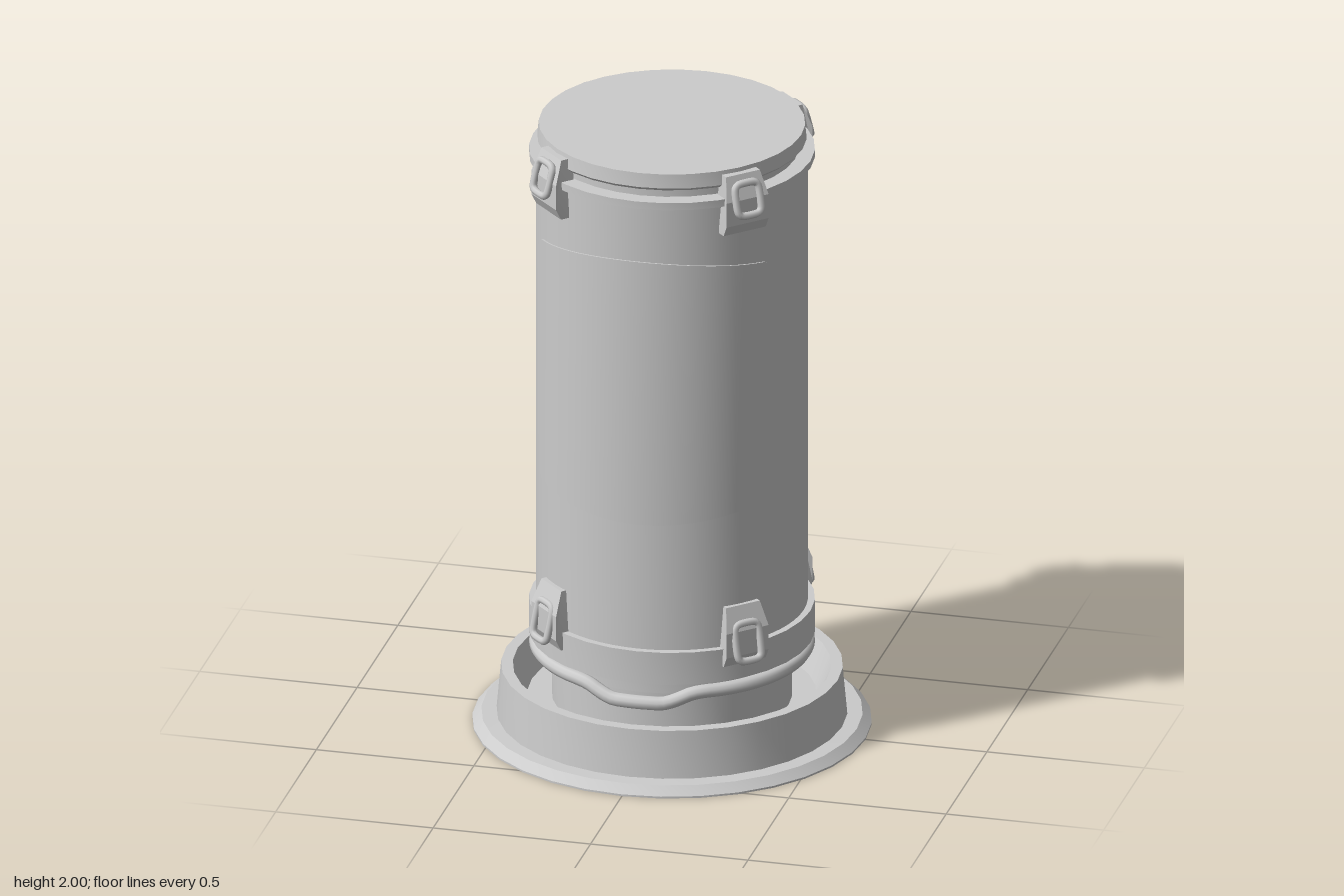
import * as THREE from 'three';
import { toCreasedNormals } from 'three/addons/utils/BufferGeometryUtils.js';

const material = new THREE.MeshStandardMaterial({ color: 0xcccccc });
const BODY_R = 0.418;

function addMesh(parent, name, geometry, crease = 0.5) {
  const mesh = new THREE.Mesh(crease ? toCreasedNormals(geometry, crease) : geometry, material);
  mesh.name = name;
  parent.add(mesh);
  return mesh;
}

// Turned part from [radius, height] pairs, listed from the bottom up the outside
function turned(parent, name, profile, sides) {
  const points = profile.map(([r, y]) => new THREE.Vector2(r, y));
  return addMesh(parent, name, new THREE.LatheGeometry(points, sides));
}

// Thin curved door panel: one cross-section per angle, with arched ends and rounded corners
function panelGeometry() {
  const half = 1.075, corner = 0.04, cornerAngle = corner / BODY_R;
  const angles = [];
  for (let i = 0; i <= 6; i++) angles.push(-half + cornerAngle * (1 - Math.cos((i / 6) * Math.PI / 2)));
  const inner = half - cornerAngle;
  for (let i = 1; i < 24; i++) angles.push(-inner + (2 * inner * i) / 24);
  for (let i = 6; i >= 0; i--) angles.push(half - cornerAngle * (1 - Math.cos((i / 6) * Math.PI / 2)));

  const positions = [], index = [];
  angles.forEach((a, i) => {
    const s = Math.sin(a) / Math.sin(half);
    const into = Math.max(0, (Math.abs(a) - inner) / cornerAngle);
    const cut = corner * (1 - Math.sqrt(Math.max(0, 1 - into * into)));
    const drop = 0.045 * s * s + cut;
    const low = 0.828 + drop, high = 1.707 - drop;
    for (const [r, y] of [[BODY_R - 0.01, low], [BODY_R + 0.005, low], [BODY_R + 0.005, high], [BODY_R - 0.01, high]]) {
      positions.push(Math.sin(a) * r, y, Math.cos(a) * r);
    }
    if (i === 0) return;
    for (let k = 0; k < 3; k++) {
      const p = (i - 1) * 4 + k, q = i * 4 + k;
      index.push(p, q, q + 1, p, q + 1, p + 1);
    }
  });
  const e = (angles.length - 1) * 4;
  index.push(0, 1, 2, 0, 2, 3, e, e + 2, e + 1, e, e + 3, e + 2);
  const geometry = new THREE.BufferGeometry();
  geometry.setAttribute('position', new THREE.Float32BufferAttribute(positions, 3));
  geometry.setIndex(index);
  return geometry;
}

// Clamp block with a wire loop, built facing +z
function createLatch(name, baseY, loopLow, loopHigh) {
  const latch = new THREE.Group();
  latch.name = name;

  // Block: side profile as (outward, up), extruded across its width
  const side = new THREE.Shape([
    [0.39, 0], [0.44, 0], [0.458, 0.035], [0.458, 0.115], [0.43, 0.19], [0.39, 0.19],
  ].map(([r, y]) => new THREE.Vector2(r, y)));
  const width = 0.15;
  const block = new THREE.ExtrudeGeometry(side, { depth: width, bevelEnabled: false });
  block.translate(0, 0, -width / 2).rotateY(-Math.PI / 2);
  // Narrow the top end of the block
  const p = block.attributes.position;
  for (let i = 0; i < p.count; i++) if (p.getY(i) > 0.15) p.setX(i, p.getX(i) * 0.8);
  block.translate(0, baseY, 0);
  addMesh(latch, 'latchBlock', block, 0.3);

  // Loop: rounded rectangle of wire leaning outward at the bottom
  const w = 0.042, h = (loopHigh - loopLow) / 2, r = 0.02;
  const points = [];
  for (let c = 0; c < 4; c++) {
    const sx = c === 0 || c === 3 ? 1 : -1, sy = c < 2 ? 1 : -1;
    for (let i = 0; i <= 3; i++) {
      const a = (c + i / 3) * Math.PI / 2;
      const x = sx * (w - r) + Math.cos(a) * r, y = sy * (h - r) + Math.sin(a) * r;
      points.push(new THREE.Vector3(x, baseY + (loopLow + loopHigh) / 2 + y, 0.461 - (y / h) * 0.013));
    }
  }
  const path = new THREE.CatmullRomCurve3(points, true, 'centripetal');
  addMesh(latch, 'latchLoop', new THREE.TubeGeometry(path, 48, 0.012, 8, true), 0);
  return latch;
}

export function createModel() {
  const model = new THREE.Group();
  model.name = 'canister';

  // Dished foot with flange and raised rim, plus the neck standing in it
  turned(model, 'base', [
    [0, 0], [0.615, 0], [0.615, 0.006], [0.587, 0.032], [0.54, 0.034], [0.526, 0.188],
    [0.49, 0.188], [0.445, 0.09], [0, 0.09],
  ], 32);
  turned(model, 'neck', [[0.37, 0.08], [0.37, 0.25], [0.39, 0.255], [0.39, 0.32]], 32);

  // Main drum with bottom collar and top ring
  turned(model, 'body', [[0, 0.32], [BODY_R, 0.32], [BODY_R, 1.91], [0, 1.91]], 64);
  turned(model, 'bottomCollar', [[0.38, 0.305], [0.44, 0.305], [0.44, 0.412], [0.41, 0.412]], 32);
  turned(model, 'topRing', [[0.4, 1.893], [0.44, 1.893], [0.44, 1.917], [0.385, 1.917]], 32);

  // Lid on a recessed seal
  turned(model, 'lidSeal', [[0.39, 1.9], [0.39, 1.96]], 32);
  turned(model, 'lid', [[0.37, 1.945], [0.405, 1.945], [0.415, 1.955], [0.41, 2], [0, 2]], 32);

  // Front and back panels
  ['frontPanel', 'backPanel'].forEach((name, i) => {
    addMesh(model, name, panelGeometry(), 0.6).rotation.y = i * Math.PI;
  });

  // Carrying ring, dipping at the front and back
  const ringPoints = [];
  for (let i = 0; i < 64; i++) {
    const a = (i / 64) * Math.PI * 2;
    const dip = 1 - THREE.MathUtils.smoothstep(Math.abs(Math.sin(a)) * 0.418, 0.07, 0.19);
    const r = 0.418 + 0.004 * dip;
    ringPoints.push(new THREE.Vector3(Math.sin(a) * r, 0.27 - 0.035 * dip, Math.cos(a) * r));
  }
  const ringPath = new THREE.CatmullRomCurve3(ringPoints, true);
  addMesh(model, 'carryingRing', new THREE.TubeGeometry(ringPath, 128, 0.022, 10, true), 0);

  // Four latches at each end, on the diagonals
  for (let i = 0; i < 4; i++) {
    for (const latch of [
      createLatch('bottomLatch', 0.355, 0.02, 0.135),
      createLatch('topLatch', 1.797, 0.068, 0.165),
    ]) {
      latch.rotation.y = Math.PI / 4 + (i * Math.PI) / 2;
      model.add(latch);
    }
  }
  return model;
}
